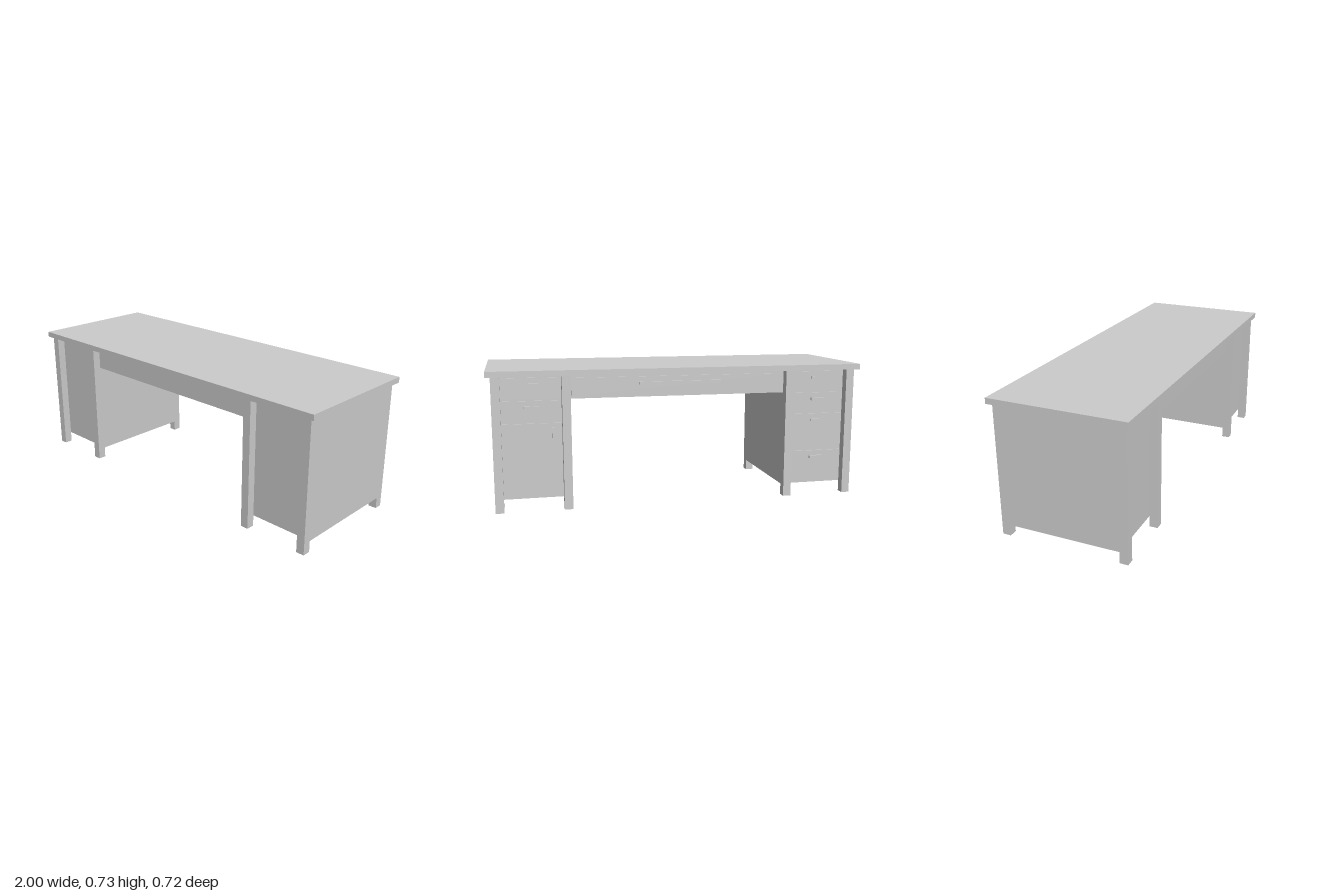
import * as THREE from 'three';

export function createModel() {
  const desk = new THREE.Group();
  desk.name = 'desk';
  const material = new THREE.MeshStandardMaterial({ color: 0xcccccc, flatShading: true });

  // Box given by its lower and upper limits on each axis
  function box(name, [x0, x1], [y0, y1], [z0, z1], parent = desk) {
    const mesh = new THREE.Mesh(new THREE.BoxGeometry(x1 - x0, y1 - y0, z1 - z0), material);
    mesh.position.set((x0 + x1) / 2, (y0 + y1) / 2, (z0 + z1) / 2);
    mesh.name = name;
    parent.add(mesh);
    return mesh;
  }

  const under = 0.698;                // underside of the top
  const outer = 0.975, inner = 0.58;  // pedestal limits in x
  const leg = 0.044, legZ = 0.341;
  const bodyZ = legZ - leg;           // cabinet faces, set back behind the legs
  const frontZ = -bodyZ - 0.008;      // face of drawers and door

  box('tabletop', [-1, 1], [under, 0.728], [-0.36, 0.36]);
  box('centerCompartment', [-inner, inner], [0.575, under], [-bodyZ, bodyZ]);

  // Pedestals, each with four corner legs
  for (const s of [-1, 1]) {
    const cx = s * (outer + inner) / 2, half = (outer - inner) / 2;
    const pedestal = new THREE.Group();
    pedestal.name = s > 0 ? 'leftPedestal' : 'rightPedestal';
    desk.add(pedestal);
    box('cabinet', [cx - half, cx + half], [0.06, under], [-bodyZ, bodyZ], pedestal);
    for (const sx of [-1, 1]) for (const sz of [-1, 1]) {
      const lx = cx + sx * (half - leg / 2), lz = sz * (legZ - leg / 2);
      box('leg', [lx - leg / 2, lx + leg / 2], [0, under], [lz - leg / 2, lz + leg / 2], pedestal);
    }
  }

  // Drawer front with a bar handle near its upper edge
  function drawer(cx, width, y0, y1, handleWidth) {
    const group = new THREE.Group();
    group.name = 'drawer';
    desk.add(group);
    box('drawerFront', [cx - width / 2, cx + width / 2], [y0, y1], [frontZ, -bodyZ], group);
    box('drawerHandle', [cx - handleWidth / 2, cx + handleWidth / 2],
      [y1 - 0.042, y1 - 0.027], [frontZ - 0.012, frontZ], group);
  }

  const px = (outer + inner) / 2, frontWidth = outer - inner - 2 * leg - 0.008;
  for (const [y0, y1] of [[0.582, 0.688], [0.465, 0.57], [0.255, 0.453], [0.072, 0.243]])
    drawer(-px, frontWidth, y0, y1, 0.075);
  for (const [y0, y1] of [[0.582, 0.688], [0.465, 0.57]])
    drawer(px, frontWidth, y0, y1, 0.075);
  drawer(0, 2 * inner - 0.012, 0.59, 0.682, 0.44);

  // Cupboard door with an upright handle
  box('door', [px - frontWidth / 2, px + frontWidth / 2], [0.066, 0.453], [frontZ, -bodyZ]);
  box('doorHandle', [0.662, 0.677], [0.34, 0.43], [frontZ - 0.012, frontZ]);

  return desk;
}
